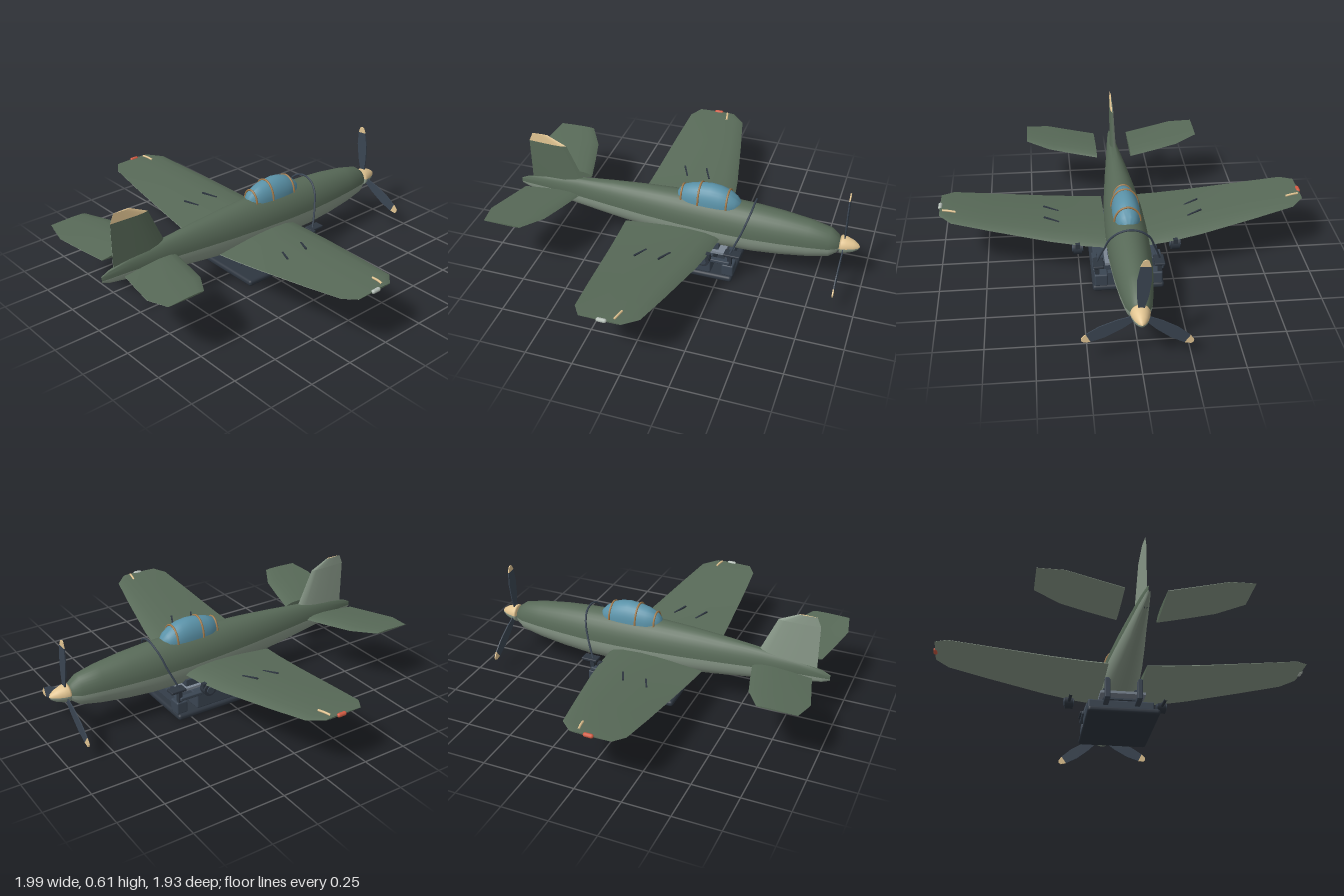
import * as THREE from 'three';
import { toCreasedNormals } from 'three/addons/utils/BufferGeometryUtils.js';
import { RoundedBoxGeometry } from 'three/addons/geometries/RoundedBoxGeometry.js';

const V = (x, y, z) => new THREE.Vector3(x, y, z);
const paint = (name, color) => Object.assign(new THREE.MeshStandardMaterial({ color }), { name });

// Joins rings of points into a skin. Closed rings wrap round and get end caps.
// Strips from number `split` onward take the second material.
function loft(rings, { closed = true, crease = 0.7, split = Infinity } = {}) {
  const n = rings[0].length, pts = rings.flat(), first = [], second = [];
  for (let r = 0; r < rings.length - 1; r++) {
    for (let i = 0; i < (closed ? n : n - 1); i++) {
      const a = r * n + i, b = r * n + (i + 1) % n, c = a + n, d = b + n;
      (i < split ? first : second).push([a, b, d], [a, d, c]);
    }
  }
  if (closed) {
    const e = (rings.length - 1) * n;
    for (let i = 1; i < n - 1; i++) first.push([0, i + 1, i], [e, e + i, e + i + 1]);
  }
  // turn the faces outward, judged from the middle
  const tris = [...first, ...second];
  const mid = pts.reduce((s, p) => s.add(p), V(0, 0, 0)).divideScalar(pts.length);
  let volume = 0;
  for (const t of tris) {
    const [a, b, c] = t.map(i => pts[i].clone().sub(mid));
    volume += a.dot(b.cross(c));
  }
  if (volume < 0) tris.forEach(t => t.reverse());
  const g = new THREE.BufferGeometry().setFromPoints(pts);
  g.setIndex(tris.flat());
  const out = toCreasedNormals(g, crease);
  out.clearGroups();
  out.addGroup(0, first.length * 3, 0);
  if (second.length) out.addGroup(first.length * 3, second.length * 3, 1);
  return out;
}

// Airfoil outline: upper side to the trailing edge, then back along the lower side.
const foil = [[0, 0], [0.04, 0.3], [0.15, 0.55], [0.35, 0.62], [0.65, 0.4], [1, 0.04],
  [1, -0.04], [0.65, -0.25], [0.35, -0.38], [0.15, -0.35], [0.04, -0.2]];
const foilRing = (z0, z1, t, place, even) =>
  foil.map(([u, h]) => place((even ? h - 0.1 * (u > 0 && u < 1) : h) * t, z0 + (z1 - z0) * u));

export function createModel() {
  const root = new THREE.Group();
  root.name = 'aeroplane';
  const green = paint('dark green', 0x586a58), belly = paint('grey green', 0x8a9a8a),
    glass = paint('canopy blue', 0x5a92a8), slate = paint('slate', 0x3a4552),
    dark = paint('dark metal', 0x2e3640), cream = paint('cream', 0xe2c592),
    bronze = paint('bronze', 0xa07a4c), red = paint('red lamp', 0xd05a42),
    pale = paint('pale lamp', 0xb4beb6), steel = paint('light steel', 0x7c8794);
  const add = (name, geo, mat, x = 0, y = 0, z = 0) => {
    const m = new THREE.Mesh(geo, mat);
    m.name = name;
    m.position.set(x, y, z);
    root.add(m);
    return m;
  };
  const box = (name, mat, w, h, d, x, y, z) => add(name, new THREE.BoxGeometry(w, h, d), mat, x, y, z);
  const rbox = (name, mat, w, h, d, r, x, y, z) => add(name, new RoundedBoxGeometry(w, h, d, 3, r), mat, x, y, z);
  const tube = (name, mat, pts, r) =>
    add(name, new THREE.TubeGeometry(new THREE.CatmullRomCurve3(pts), 40, r, 8), mat);
  const disc = (name, mat, r, w, x, y, z) =>
    add(name, new THREE.CylinderGeometry(r, r, w, 20).rotateZ(Math.PI / 2), mat, x, y, z);
  const sides = f => [1, -1].forEach(f);

  // Fuselage: z, half width, bottom, top
  const hull = [[-0.865, 0.03, 0.235, 0.29], [-0.85, 0.047, 0.21, 0.315], [-0.81, 0.066, 0.178, 0.345],
    [-0.7, 0.084, 0.155, 0.37], [-0.55, 0.1, 0.135, 0.39], [-0.4, 0.109, 0.122, 0.402], [-0.2, 0.111, 0.12, 0.41],
    [0, 0.105, 0.13, 0.41], [0.2, 0.09, 0.145, 0.402], [0.4, 0.07, 0.168, 0.388], [0.6, 0.047, 0.195, 0.37],
    [0.8, 0.026, 0.226, 0.342], [0.92, 0.012, 0.246, 0.315], [0.962, 0.004, 0.262, 0.295]];
  const shell = from => loft(hull.map(([z, w, b, t]) => Array.from({ length: 19 }, (_, i) => {
    const a = from + Math.PI * i / 18, mid = (b + t) / 2 - 0.006;
    const h = Math.sin(a) > 0 ? t - mid : mid - b;
    return V(w * Math.cos(a), mid + h * Math.sin(a), z);
  })), { closed: false, crease: 1.2 });
  add('fuselageTop', shell(0), green);
  add('fuselageBelly', shell(Math.PI), belly);

  // Spinner, upper half cream and lower half grey
  const cone = [[0, 0], [0.046, 0], [0.049, 0.01], [0.044, 0.035], [0.032, 0.07], [0.016, 0.095], [0, 0.105]]
    .map(p => new THREE.Vector2(...p));
  [['spinnerTop', cream, -Math.PI / 2], ['spinnerBottom', belly, Math.PI / 2]].forEach(([name, mat, start]) => {
    const g = new THREE.LatheGeometry(cone, 16, start, Math.PI).rotateX(-Math.PI / 2);
    add(name, g, mat, 0, 0.262, -0.863);
  });

  // Propeller: three flat blades with cream tips
  const flat = pts => new THREE.ExtrudeGeometry(new THREE.Shape(pts.map(p => new THREE.Vector2(...p))),
    { depth: 0.006, bevelEnabled: false });
  const blade = flat([[-0.013, 0.03], [0.013, 0.03], [0.028, 0.11], [0.034, 0.2], [0.025, 0.275], [-0.025, 0.275], [-0.034, 0.2], [-0.028, 0.11]]);
  const tip = flat([[-0.025, 0.275], [0.025, 0.275], [0.013, 0.305], [0, 0.311], [-0.013, 0.305]]);
  for (let i = 0; i < 3; i++) {
    for (const [name, g, mat] of [['propellerBlade', blade, slate], ['propellerTip', tip, cream]]) {
      add(name, g, mat, 0, 0.262, -0.888).rotation.z = 0.08 + i * Math.PI * 2 / 3;
    }
  }

  // Wings and tailplanes: x, y, leading edge, trailing edge, thickness
  const wing = [[0.1, 0.212, -0.235, 0.3, 0.055], [0.22, 0.222, -0.225, 0.292, 0.052], [0.4, 0.243, -0.198, 0.28, 0.045],
    [0.7, 0.284, -0.135, 0.262, 0.03], [0.92, 0.316, -0.085, 0.245, 0.018], [0.987, 0.325, -0.015, 0.2, 0.008]];
  const tailplane = [[0.1, 0.316, 0.575, 0.89, 0.034], [0.24, 0.33, 0.61, 0.925, 0.028],
    [0.38, 0.346, 0.648, 0.958, 0.02], [0.51, 0.363, 0.728, 0.932, 0.008]];
  sides(s => {
    const panel = rows => loft(rows.map(([x, y, a, b, t]) => foilRing(a, b, t, (o, z) => V(s * x, y + o, z))), { split: 5 });
    const side = s > 0 ? 'left' : 'right';
    add(side + 'Wing', panel(wing), [green, belly]);
    add(side + 'Tailplane', panel(tailplane), [green, belly]);
    // wing top strips, tip probe and lamp
    [[-0.022, 0.271], [0.108, 0.261]].forEach(([z, y]) => {
      const m = box(side + 'WingStrip', dark, 0.09, 0.008, 0.009, s * 0.39, y, z);
      m.rotation.set(0, s * -0.45, s * 0.13, 'YXZ');
    });
    tube(side + 'TipProbe', cream, [V(s * 0.9, 0.328, 0.012), V(s * 0.935, 0.333, 0.018), V(s * 0.972, 0.334, 0.026)], 0.006);
    const lamp = new THREE.CapsuleGeometry(0.011, 0.032, 6, 12).rotateX(Math.PI / 2);
    add(side + 'TipLamp', lamp, s > 0 ? pale : red, s * 0.986, 0.326, 0.083);
  });

  // Fin: y, leading edge, trailing edge, thickness; its right face is grey
  const finRows = [[0.32, 0.56, 0.89, 0.036], [0.365, 0.582, 0.89, 0.034], [0.56, 0.67, 0.89, 0.018], [0.61, 0.775, 0.868, 0.008]];
  const fin = rows => loft(rows.map(([y, a, b, t]) => foilRing(a, b, t, (o, z) => V(o, y, z), true)), { split: 5 });
  add('fin', fin(finRows.slice(0, 3)), [green, belly]);
  add('finTip', fin(finRows.slice(2)), [cream, belly]);
  disc('tailWheel', dark, 0.016, 0.014, 0, 0.252, 0.855);

  // Canopy: z, half width, top; hoops follow the same arches
  const arch = (z, w, top, grow = 0) => Array.from({ length: 17 }, (_, i) => {
    const a = Math.PI * i / 16;
    return V((w + grow) * Math.cos(a), 0.385 + (top - 0.385 + grow) * Math.sin(a), z);
  });
  const bays = [[0.034, 0.008, 0.4], [0.02, 0.032, 0.428], [0, 0.048, 0.451], [-0.05, 0.063, 0.471], [-0.1, 0.07, 0.482],
    [-0.16, 0.073, 0.487], [-0.21, 0.072, 0.48], [-0.255, 0.066, 0.464], [-0.295, 0.05, 0.435], [-0.318, 0.028, 0.41], [-0.325, 0.008, 0.396]];
  add('canopy', loft(bays.map(b => arch(...b)), { crease: 1 }), glass);
  [2, 4, 7].forEach(i => tube('canopyHoop', bronze, arch(...bays[i], 0.002), 0.0055));

  // Strap hugging the nose
  const strap = [[0.165, 0.18, -0.31], [0.148, 0.24, -0.335], [0.126, 0.3, -0.36], [0.105, 0.355, -0.378], [0.06, 0.402, -0.393]];
  tube('noseStrap', slate, [...strap.map(([x, y, z]) => V(-x, y, z)), V(0, 0.419, -0.396),
    ...strap.map(p => V(...p)).reverse()], 0.0055);

  // Stand: base slab, body and carrying plate
  rbox('standBase', dark, 0.38, 0.034, 0.5, 0.015, 0, 0.017, -0.08);
  rbox('standBody', slate, 0.355, 0.085, 0.265, 0.008, 0, 0.075, -0.077);
  box('standPlate', steel, 0.24, 0.014, 0.4, 0, 0.131, -0.07);
  box('standCradle', slate, 0.2, 0.06, 0.3, 0, 0.145, -0.08);
  box('frontCrossbar', slate, 0.3, 0.05, 0.03, 0, 0.07, -0.285);
  sides(s => {
    // rear posts and feet
    rbox('rearPost', slate, 0.03, 0.115, 0.026, 0.006, s * 0.085, 0.145, 0.145);
    rbox('rearFoot', slate, 0.03, 0.026, 0.09, 0.006, s * 0.085, 0.097, 0.1);
    // front blocks, posts and top brackets
    rbox('frontBlock', slate, 0.07, 0.07, 0.064, 0.008, s * 0.145, 0.072, -0.303);
    box('frontPost', dark, 0.022, 0.08, 0.022, s * 0.165, 0.14, -0.312);
    rbox('frontBracket', dark, 0.055, 0.016, 0.09, 0.005, s * 0.16, 0.178, -0.325);
    rbox('sideRail', slate, 0.03, 0.02, 0.16, 0.005, s * 0.172, 0.125, -0.235);
    // round pod and barrel under each wing
    disc('wingPod', dark, 0.036, 0.045, s * 0.26, 0.198, -0.195);
    disc('podHub', slate, 0.021, 0.058, s * 0.26, 0.198, -0.195);
    tube('podArm', dark, [V(s * 0.26, 0.195, -0.165), V(s * 0.26, 0.188, -0.11), V(s * 0.26, 0.182, -0.04)], 0.009);
    box('podMount', dark, 0.024, 0.026, 0.04, s * 0.26, 0.222, -0.21);
  });
  return root;
}
